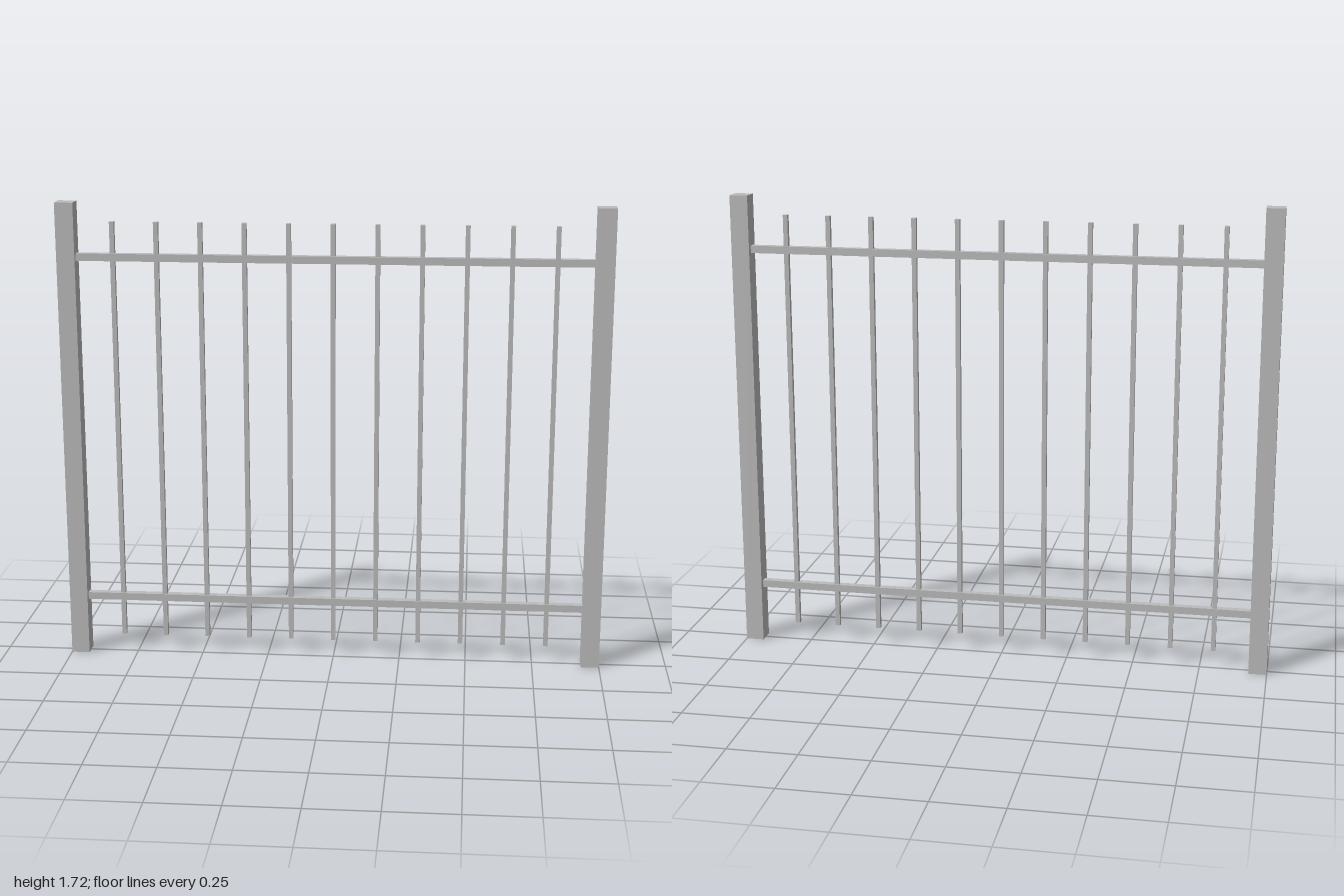
import * as THREE from 'three';

export function createModel() {
  const model = new THREE.Group();
  model.name = 'fencePanel';

  const metal = new THREE.MeshStandardMaterial({ color: 0xbcbcbc });
  metal.name = 'light grey metal';

  const addBox = (name, w, h, d, x, y) => {
    const mesh = new THREE.Mesh(new THREE.BoxGeometry(w, h, d), metal);
    mesh.name = name;
    mesh.position.set(x, y, 0);
    model.add(mesh);
  };

  const postWidth = 0.067, postHeight = 1.72;
  const railSize = 0.027, barSize = 0.017;

  // Square end posts
  for (const [name, side] of [['leftPost', 1], ['rightPost', -1]]) {
    addBox(name, postWidth, postHeight, postWidth, side * (1 - postWidth / 2), postHeight / 2);
  }

  // Horizontal rails between the posts
  const span = 2 - 2 * postWidth;
  addBox('lowerRail', span, railSize, railSize, 0, 0.223);
  addBox('upperRail', span, railSize, railSize, 0, 1.521);

  // Evenly spaced square bars passing through both rails
  const bottom = 0.07, top = 1.65;
  for (let i = -5; i <= 5; i++) {
    addBox(`bar${i + 6}`, barSize, top - bottom, barSize, i * 0.16, (top + bottom) / 2);
  }

  return model;
}
